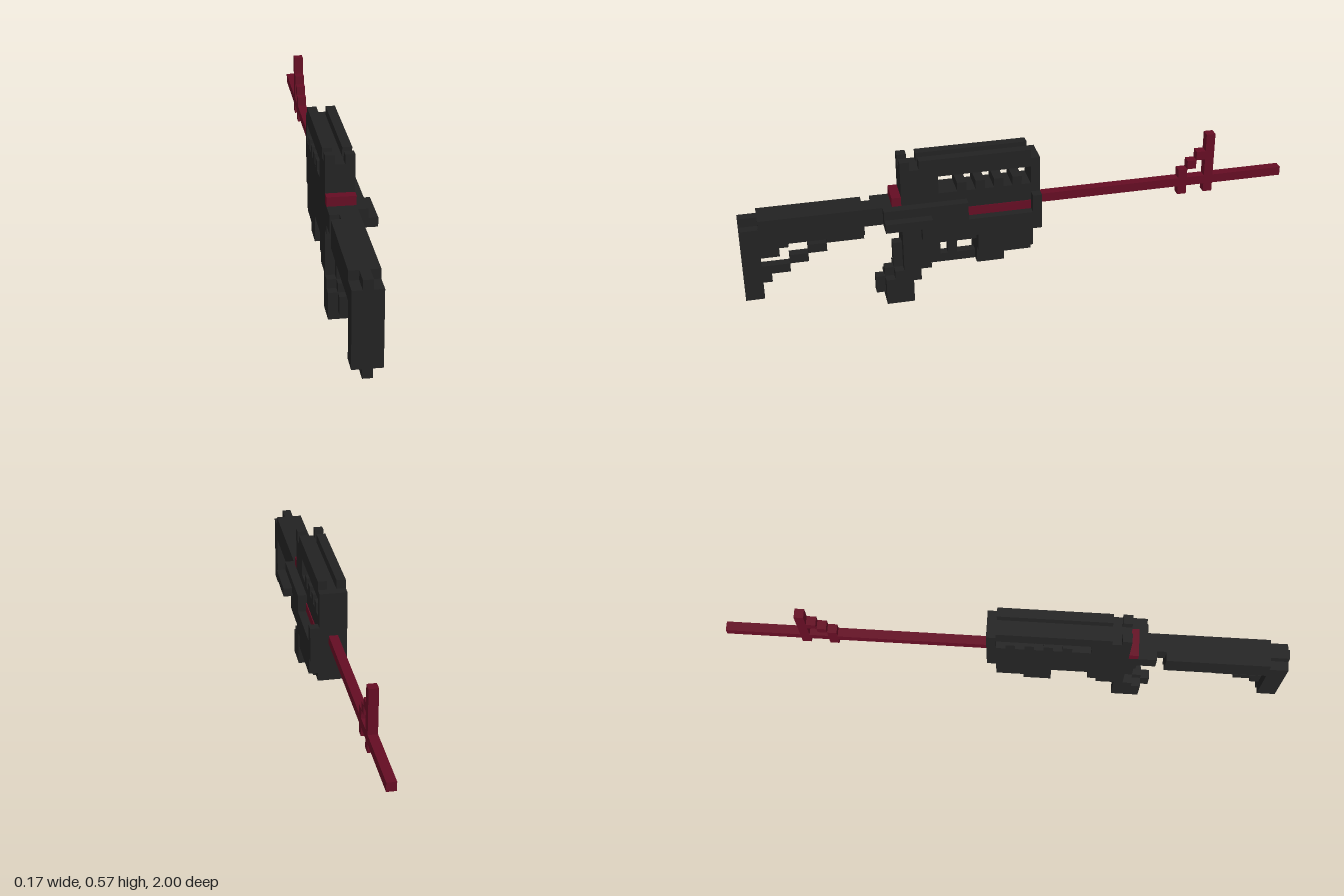
import * as THREE from 'three';

const U = 1 / 30; // one block

export function createModel() {
  const model = new THREE.Group();
  const black = new THREE.MeshStandardMaterial({ color: 0x222222 });
  black.name = 'charcoal';
  const red = new THREE.MeshStandardMaterial({ color: 0x640d23 });
  red.name = 'dark red';

  // Each entry is [x0, x1, y0, y1, z0, z1] in whole blocks, end not included
  function part(name, material, boxes) {
    const group = new THREE.Group();
    group.name = name;
    for (const [x0, x1, y0, y1, z0, z1] of boxes) {
      const mesh = new THREE.Mesh(
        new THREE.BoxGeometry((x1 - x0) * U, (y1 - y0) * U, (z1 - z0) * U), material);
      mesh.name = name + 'Block';
      mesh.position.set(((x0 + x1) / 2 - 2.5) * U, (y0 + y1) / 2 * U, (z0 + z1) / 2 * U);
      group.add(mesh);
    }
    model.add(group);
  }

  // Barrel and front sight
  part('barrel', red, [[1, 2, 10, 11, -30, -2]]);
  part('frontSight', red, [
    [1, 2, 9, 16, -22, -21], [1, 2, 13, 14, -21, -20],
    [1, 2, 12, 13, -20, -19], [1, 2, 9, 12, -19, -18],
  ]);

  // Main body with the front plate
  part('receiver', black, [
    [0, 3, 8, 13, -1, 13], [0, 3, 7, 8, -1, 12], [0, 3, 9, 12, 13, 14],
  ]);
  part('frontPlate', black, [[0, 3, 8, 16, -2, -1], [3, 4, 8, 12, -2, -1]]);

  // Carry handle over an open slot, with teeth along the slot floor
  part('carryHandle', black, [[0, 3, 15, 16, -1, 13], [0, 3, 13, 15, 9, 13]]);
  part('slotTeeth', black, [0, 2, 4, 6].map(z => [0, 3, 13, 14, z, z + 1]));
  for (const x of [0, 2]) {
    part('topRail', black, [[x, x + 1, 16, 17, -1, 11]]);
    part('rearSight', black, [[x, x + 1, 16, 17, 12, 13]]);
  }
  part('rearBand', red, [[0, 3, 12, 13, 13, 14]]);

  // Side housing, port and charging handle
  part('sideHousing', black, [
    [3, 4, 10, 12, 6, 15], [3, 4, 8, 10, -1, 11], [3, 4, 6, 8, -1, 5],
  ]);
  part('ejectionPort', red, [[2, 3.1, 10, 11, -1, 6]]);
  part('chargingHandle', black, [[4, 5, 10, 11, 10, 15]]);

  // Lower body, trigger and guard
  part('magazineWell', black, [[0, 3, 5, 7, -1, 5], [0, 3, 4, 5, 2, 5]]);
  part('triggerGuard', black, [[1, 2, 4, 5, 5, 9]]);
  part('trigger', black, [[1, 2, 5, 7, 7, 8]]);

  // Grip, stepped towards the rear
  part('grip', black, [
    [0, 3, 7, 9, 9, 13], [0, 3, 5, 7, 9, 13], [1, 2, 5, 7, 13, 14],
    [1, 2, 4, 5, 9, 14], [0, 3, 4, 5, 10, 13], [1, 2, 2, 4, 11, 15],
    [0, 3, 2, 4, 12, 14], [1, 2, 1, 3, 12, 16], [0, 3, 1, 3, 12, 15],
    [0, 3, 0, 1, 12, 15],
  ]);

  // Stock neck, with one side notched
  part('stockNeck', black, [[0, 3, 10, 12, 14, 16], [1, 3, 10, 12, 16, 17]]);
  part('stock', black, [
    [0, 3, 9, 12, 17, 28], [1, 2, 8, 9, 17, 21], [1, 2, 8, 9, 25, 28],
    [1, 2, 7, 8, 26, 28],
  ]);
  part('stockStrut', black, [
    [1, 2, 7, 8, 21, 23], [1, 2, 6, 7, 23, 25],
    [1, 2, 5, 6, 25, 27], [1, 2, 4, 6, 27, 28],
  ]);
  part('buttPlate', black, [[0, 3, 3, 11, 28, 30], [1, 2, 2, 12, 28, 30]]);

  return model;
}
